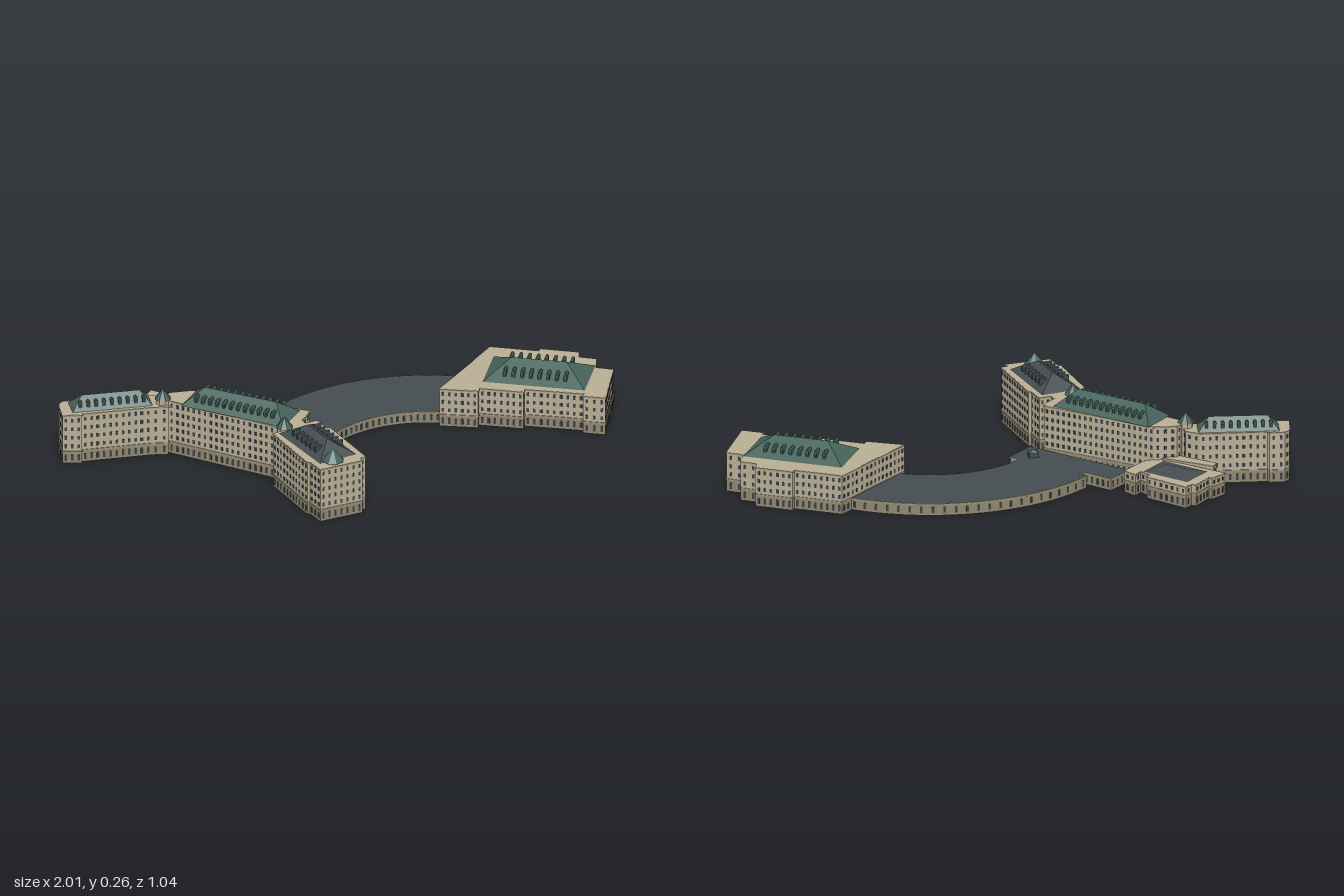
import * as THREE from 'three';
import { mergeGeometries } from 'three/addons/utils/BufferGeometryUtils.js';

const mat = (color) => new THREE.MeshStandardMaterial({ color, flatShading: true, side: THREE.DoubleSide });
const stone = mat(0xb8ad94), plinth = mat(0x8f866e), trim = mat(0xa0967e);
const green = mat(0x45635a), slate = mat(0x444c50), glass = mat(0x39434a), ceiling = mat(0x262b2c);
const BASE = 0.045;

function add(parent, name, geometry, material) {
  const m = new THREE.Mesh(geometry, material);
  m.name = name;
  parent.add(m);
  return m;
}

// Footprints are lists of [x, z]
const footprint = (pts) => new THREE.Shape(pts.map(([x, z]) => new THREE.Vector2(x, -z)));
const slab = (pts, y) => new THREE.ShapeGeometry(footprint(pts)).rotateX(-Math.PI / 2).translate(0, y, 0);

// Calls fn for each footprint side with its length and a function placing geometry on it
function eachSide(pts, fn) {
  pts.forEach(([x0, z0], i) => {
    const [x1, z1] = pts[(i + 1) % pts.length];
    const angle = -Math.atan2(z1 - z0, x1 - x0);
    fn(Math.hypot(x1 - x0, z1 - z0), (geo, along, y) =>
      geo.translate(along, y, 0).rotateY(angle).translate(x0, 0, z0));
  });
}

// Round-headed ground floor window
function archWindow() {
  const s = new THREE.Shape();
  s.moveTo(-0.0045, 0);
  s.lineTo(0.0045, 0);
  s.lineTo(0.0045, 0.019);
  s.absarc(0, 0.019, 0.0045, 0, Math.PI);
  return new THREE.ExtrudeGeometry(s, { depth: 0.003, bevelEnabled: false, curveSegments: 4 }).translate(0, 0, -0.0015);
}

// Hollow ground floor with arched windows, then optional upper storeys
function building(parent, name, pts, height, topMaterial) {
  const g = new THREE.Group();
  g.name = name;
  parent.add(g);
  const walls = [], ledges = [], arches = [], windows = [];
  const rows = Math.floor((height - BASE - 0.006) / 0.029);
  const step = rows > 0 ? (height - BASE - 0.008) / rows : 0;
  eachSide(pts, (len, place) => {
    walls.push(place(new THREE.PlaneGeometry(len, BASE), len / 2, BASE / 2));
    for (const y of rows > 0 ? [BASE, height - 0.003] : [BASE - 0.003])
      ledges.push(place(new THREE.BoxGeometry(len + 0.003, 0.005, 0.005), len / 2, y));
    const n = Math.floor(len / 0.022);
    for (let i = 0; i < n; i++) {
      const along = (i + 0.5) * len / n;
      arches.push(place(archWindow(), along, 0.01));
      for (let r = 0; r < rows; r++)
        windows.push(place(new THREE.BoxGeometry(0.009, 0.014, 0.003), along, BASE + 0.004 + (r + 0.5) * step));
    }
  });
  add(g, 'groundFloorWalls', mergeGeometries(walls), plinth);
  add(g, 'ledges', mergeGeometries(ledges), trim);
  add(g, 'archedWindows', mergeGeometries(arches), glass);
  add(g, 'ceiling', slab(pts, BASE - 0.001), ceiling);
  if (rows > 0) {
    const upper = new THREE.ExtrudeGeometry(footprint(pts), { depth: height - BASE, bevelEnabled: false });
    add(g, 'upperWalls', upper.rotateX(-Math.PI / 2).translate(0, BASE, 0), stone);
    if (windows.length) add(g, 'windows', mergeGeometries(windows), glass);
  } else {
    add(g, 'flatRoof', slab(pts, height), topMaterial);
  }
}

// Hipped roof with a row of dormers on each long slope
function hipRoof(parent, name, [x, z], degrees, len, wid, ridge, y0, y1, material, dormers) {
  const g = new THREE.Group();
  g.name = name;
  g.position.set(x, y0, z);
  g.rotation.y = -THREE.MathUtils.degToRad(degrees);
  parent.add(g);
  const h = y1 - y0, a = len / 2, b = wid / 2, r = ridge / 2;
  const A = [-a, 0, b], B = [a, 0, b], C = [a, 0, -b], D = [-a, 0, -b], E = [-r, h, 0], F = [r, h, 0];
  const geo = new THREE.BufferGeometry();
  const tris = [A, B, F, A, F, E, C, D, E, C, E, F, B, C, F, D, A, E];
  geo.setAttribute('position', new THREE.Float32BufferAttribute(tris.flat(), 3));
  geo.computeVertexNormals();
  add(g, 'roofSlopes', geo, material);
  const boxes = [], panes = [];
  for (const s of [-1, 1]) for (let i = 0; i < dormers; i++) {
    const dx = (i / (dormers - 1) - 0.5) * (ridge + 0.02), dz = s * b * 0.58;
    boxes.push(new THREE.BoxGeometry(0.011, 0.018, b * 0.35).translate(dx, h * 0.45, dz));
    boxes.push(new THREE.CylinderGeometry(0.0065, 0.0065, b * 0.37, 6).rotateX(Math.PI / 2)
      .translate(dx, h * 0.45 + 0.009, dz));
    panes.push(new THREE.BoxGeometry(0.007, 0.013, 0.002).translate(dx, h * 0.45, dz + s * b * 0.175));
  }
  if (dormers) {
    add(g, 'dormers', mergeGeometries(boxes), material);
    add(g, 'dormerWindows', mergeGeometries(panes), glass);
  }
}

// Eight-sided stair tower with a pointed roof
function turret(parent, x, z, r, y0, y1) {
  const g = new THREE.Group();
  g.name = 'turret';
  g.position.set(x, 0, z);
  parent.add(g);
  add(g, 'turretWall', new THREE.CylinderGeometry(r, r, y0, 8, 1, true).translate(0, y0 / 2, 0), stone);
  add(g, 'turretRoof', new THREE.ConeGeometry(r * 1.15, y1 - y0, 8).translate(0, (y0 + y1) / 2, 0), green);
}

export function createModel() {
  const model = new THREE.Group();
  model.name = 'buildingComplex';

  // Low curved gallery
  const arc = [], N = 24;
  for (const [radius, dir] of [[0.69, 1], [0.4, -1]]) for (let i = 0; i <= N; i++) {
    const t = dir > 0 ? i / N : 1 - i / N;
    const a = THREE.MathUtils.degToRad(132 - 82 * t);
    arc.push([0.2 + radius * Math.cos(a), 0.27 - radius * Math.sin(a)]);
  }
  building(model, 'curvedGallery', arc, BASE, slate);

  // Low block joining the gallery to the main wing
  building(model, 'entranceBlock', [[-0.34, -0.29], [-0.42, -0.22], [-0.17, 0.04], [-0.125, 0.085],
    [-0.035, 0], [-0.06, -0.03], [-0.04, -0.06], [-0.24, -0.22], [-0.26, -0.205]], BASE, slate);
  const hut = add(model, 'roofHut', new THREE.BoxGeometry(0.035, 0.018, 0.026), slate);
  hut.position.set(-0.115, BASE + 0.009, -0.015);
  const hutTop = add(model, 'roofHutTop', new THREE.ConeGeometry(0.024, 0.012, 4).rotateY(Math.PI / 4), green);
  hutTop.position.set(-0.115, BASE + 0.024, -0.015);

  // Diagonal main wing
  building(model, 'mainWing', [[-0.63, -0.2], [-0.59, -0.24], [-0.51, -0.23], [-0.17, 0.06],
    [-0.19, 0.09], [-0.26, 0.155], [-0.31, 0.16], [-0.34, 0.115]], 0.207);
  hipRoof(model, 'mainRoof', [-0.395, -0.04], 44, 0.4, 0.145, 0.28, 0.207, 0.262, green, 12);

  // Outer wing on the model's right
  building(model, 'sideWing', [[-1, -0.225], [-0.985, -0.31], [-0.965, -0.33], [-0.91, -0.325], [-0.905, -0.315],
    [-0.665, -0.285], [-0.62, -0.25], [-0.62, -0.17], [-0.68, -0.185], [-0.93, -0.215], [-0.935, -0.205]], 0.19);
  hipRoof(model, 'sideRoof', [-0.81, -0.256], 7.5, 0.29, 0.085, 0.21, 0.19, 0.236, green, 9);

  // Front wing
  building(model, 'frontWing', [[-0.35, 0.19], [-0.27, 0.17], [-0.28, 0.11], [-0.225, 0.1], [-0.215, 0.15],
    [-0.17, 0.14], [-0.155, 0.21], [-0.145, 0.21], [-0.1, 0.47], [-0.125, 0.475], [-0.12, 0.495],
    [-0.285, 0.515], [-0.3, 0.445], [-0.31, 0.445]], 0.207);
  hipRoof(model, 'frontRoof', [-0.228, 0.318], 78, 0.285, 0.15, 0.13, 0.207, 0.256, slate, 6);

  // Low rear pavilion and its link to the main wing
  building(model, 'rearPavilion', [[-0.73, -0.41], [-0.675, -0.45], [-0.665, -0.44], [-0.605, -0.505], [-0.59, -0.495],
    [-0.565, -0.52], [-0.45, -0.39], [-0.465, -0.375], [-0.44, -0.33], [-0.415, -0.36], [-0.385, -0.315],
    [-0.47, -0.235], [-0.53, -0.22]], 0.08 - 0.013 + 0.014);
  hipRoof(model, 'rearRoof', [-0.56, -0.36], 46, 0.19, 0.13, 0.07, 0.081, 0.1, slate, 0);
  building(model, 'linkBlock', [[-0.715, -0.33], [-0.7, -0.355], [-0.54, -0.24], [-0.57, -0.2]], 0.09);

  // Large building on the model's left
  building(model, 'farBuilding', [[0.365, -0.07], [0.54, -0.23], [0.57, -0.26], [0.645, -0.33], [0.8, -0.24],
    [0.81, -0.255], [0.93, -0.185], [0.915, -0.15], [0.97, -0.115], [0.945, -0.05], [1, -0.015], [0.9, 0.19],
    [0.83, 0.15], [0.84, 0.135], [0.65, 0.03], [0.64, 0.05], [0.5, -0.03], [0.49, -0.01]], 0.147);
  hipRoof(model, 'farRoof', [0.74, -0.07], 30, 0.37, 0.205, 0.2, 0.147, 0.203, green, 8);

  // Turrets at the joints and at the tip of the front wing
  turret(model, -0.63, -0.205, 0.026, 0.207, 0.247);
  turret(model, -0.295, 0.152, 0.027, 0.207, 0.25);
  turret(model, -0.22, 0.465, 0.034, 0.21, 0.255);
  return model;
}
